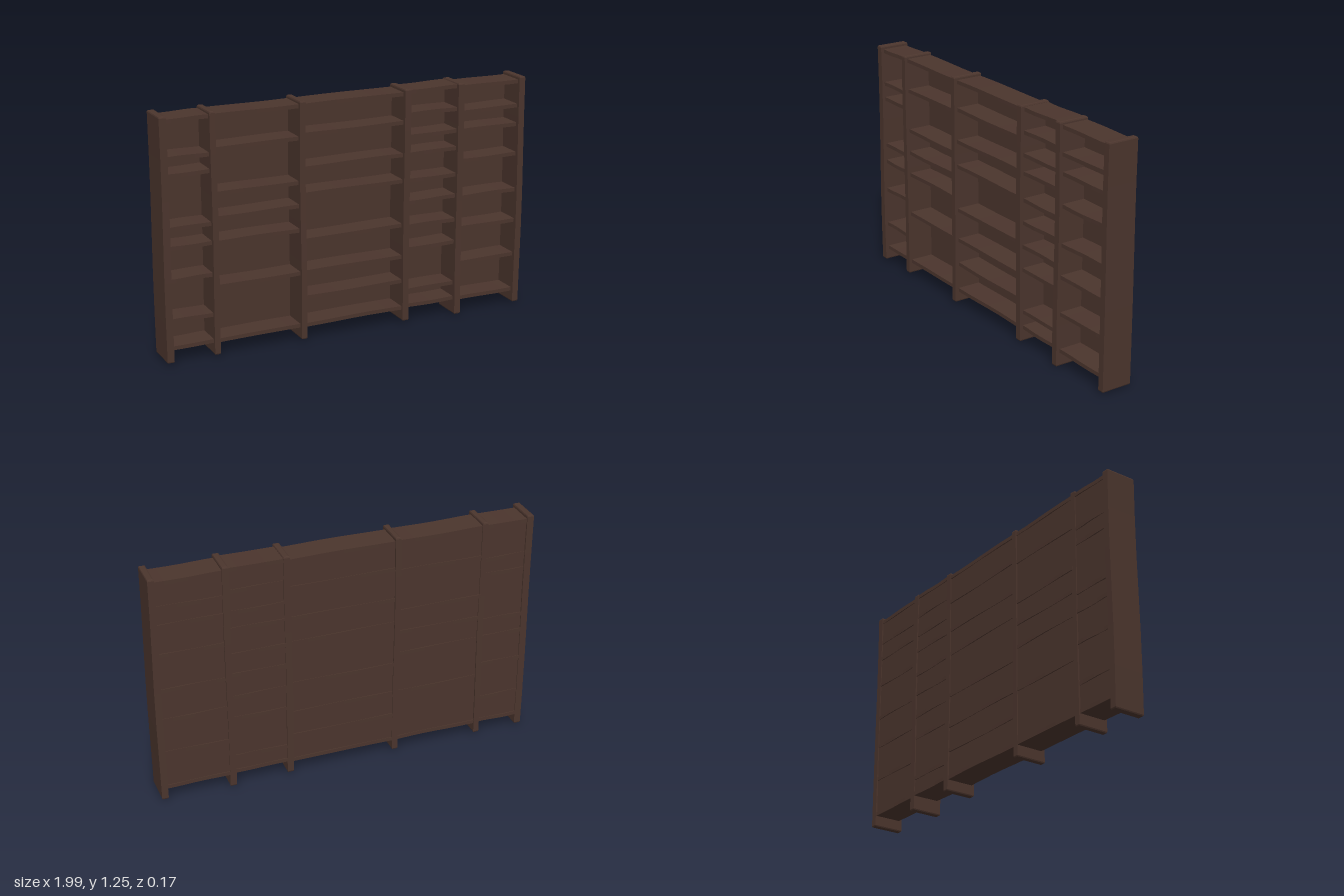
import * as THREE from 'three';

const wood = new THREE.MeshStandardMaterial({ color: 0x4b352d, flatShading: true });
wood.name = 'darkWood';

// Chamfered board: length runs along z before it is turned, and is bowed slightly by a sine rule
function board(name, w, h, len, bevel, bow, phase) {
  const a = w / 2 - bevel, b = h / 2 - bevel;
  const shape = new THREE.Shape([
    new THREE.Vector2(-a, -b), new THREE.Vector2(a, -b),
    new THREE.Vector2(a, b), new THREE.Vector2(-a, b),
  ]);
  const g = new THREE.ExtrudeGeometry(shape, {
    depth: len - 2 * bevel, steps: 6, bevelEnabled: true,
    bevelThickness: bevel, bevelSize: bevel, bevelSegments: 2,
  });
  g.translate(0, 0, bevel - len / 2);
  const p = g.attributes.position;
  for (let i = 0; i < p.count; i++) {
    const t = p.getZ(i) / len;
    p.setX(i, p.getX(i) + bow * Math.sin(t * 7 + phase));
    p.setY(i, p.getY(i) + bow * Math.sin(t * 5 + phase * 2));
  }
  g.computeVertexNormals();
  const mesh = new THREE.Mesh(g, wood);
  mesh.name = name;
  return mesh;
}

export function createModel() {
  const group = new THREE.Group();
  group.name = 'bookcase';

  // Uprights: centre x, width, bottom, top
  const uprights = [
    [-0.979, 0.036, 0.015, 1.247], [-0.731, 0.03, 0.015, 1.247], [-0.266, 0.03, 0.015, 1.247],
    [0.309, 0.034, 0.015, 1.247], [0.617, 0.034, 0.002, 1.247], [0.977, 0.034, 0.012, 1.247],
  ];
  uprights.forEach(([x, w, y0, y1], i) => {
    const m = board('upright', w, 0.164, y1 - y0, 0.008, 0.002, i * 1.7);
    m.rotation.x = -Math.PI / 2;
    m.position.set(x, (y0 + y1) / 2, 0);
    group.add(m);
  });

  // Shelf heights of each bay, with the top and bottom boards
  const bays = [
    [1.22, 1.037, 0.953, 0.69, 0.593, 0.43, 0.225, 0.085],
    [1.22, 1.058, 0.835, 0.713, 0.59, 0.363, 0.085],
    [1.22, 1.073, 0.905, 0.77, 0.533, 0.365, 0.23, 0.085],
    [1.228, 1.112, 0.997, 0.905, 0.765, 0.65, 0.523, 0.4, 0.175, 0.09],
    [1.22, 1.09, 0.993, 0.833, 0.638, 0.47, 0.28, 0.083],
  ];
  bays.forEach((heights, b) => {
    const x0 = uprights[b][0], x1 = uprights[b + 1][0];
    const bay = new THREE.Group();
    bay.name = 'bay';
    bay.position.x = (x0 + x1) / 2;

    heights.forEach((y, i) => {
      const end = i === 0 || i === heights.length - 1;
      const name = i === 0 ? 'topBoard' : end ? 'bottomBoard' : 'shelf';
      const s = board(name, 0.143, 0.02, x1 - x0 - 0.01, 0.004, 0.0015, b * 2 + i * 1.3);
      s.rotation.y = Math.PI / 2;
      s.position.set(0, y, -0.0075);
      bay.add(s);
    });

    // Thin panel closing the rear of the bay
    const back = new THREE.Mesh(new THREE.BoxGeometry(x1 - x0, 1.135, 0.012), wood);
    back.name = 'backPanel';
    back.position.set(0, 0.653, -0.069);
    bay.add(back);
    group.add(bay);
  });

  return group;
}
